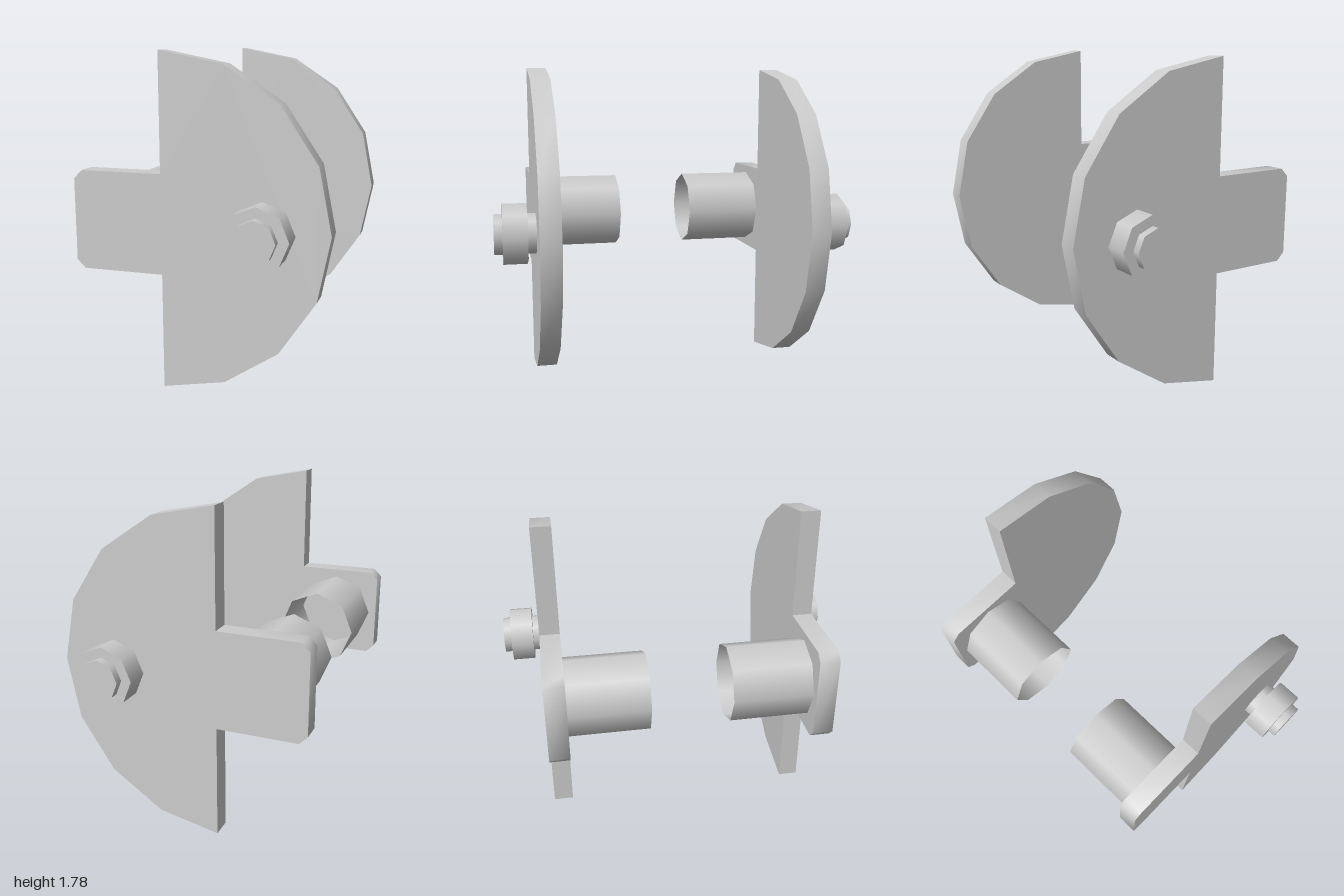
import * as THREE from 'three';
import { toCreasedNormals } from 'three/addons/utils/BufferGeometryUtils.js';

const MID = 0.89; // height of the shaft axis

// Half-disc counterweight joined to a chamfered arm, one closed outline
function plateGeometry(depth) {
  const cx = -0.2, r = 0.888, left = -0.69, half = 0.266, c = 0.045;
  const points = [];
  for (let i = 0; i <= 8; i++) {
    const a = -Math.PI / 2 + (i * Math.PI) / 8;
    points.push(new THREE.Vector2(cx + r * Math.cos(a), r * Math.sin(a)));
  }
  points.push(
    new THREE.Vector2(cx, half),
    new THREE.Vector2(left + c, half),
    new THREE.Vector2(left, half - c),
    new THREE.Vector2(left, c - half),
    new THREE.Vector2(left + c, -half),
    new THREE.Vector2(cx, -half)
  );
  const geometry = new THREE.ExtrudeGeometry(new THREE.Shape(points), { depth, bevelEnabled: false });
  geometry.translate(0, 0, -depth / 2);
  return toCreasedNormals(geometry, THREE.MathUtils.degToRad(50));
}

// Eight-sided cylinder lying along z
function zCylinder(radius, length, open = false) {
  return new THREE.CylinderGeometry(radius, radius, length, 8, 1, open).rotateX(Math.PI / 2);
}

export function createModel() {
  const model = new THREE.Group();
  model.name = 'crankshaft';
  const grey = new THREE.MeshStandardMaterial({ color: 0xcccccc });
  const thin = new THREE.MeshStandardMaterial({ color: 0xcccccc, side: THREE.DoubleSide });

  // name, geometry, x, distance from the middle, material
  const parts = [
    ['CrankWeb', plateGeometry(0.112), 0, 0.722, grey],
    ['CrankPinSleeve', zCylinder(0.221, 0.444, true), -0.425, 0.444, thin],
    ['Axle', zCylinder(0.11, 0.222), 0.355, 0.889, grey],
    ['BearingCollar', zCylinder(0.165, 0.13), 0.355, 0.89, grey],
  ];

  // The two halves mirror each other across z = 0
  for (const [side, s] of [['front', 1], ['back', -1]]) {
    const half = new THREE.Group();
    half.name = side + 'Half';
    for (const [name, geometry, x, z, material] of parts) {
      const mesh = new THREE.Mesh(geometry, material);
      mesh.name = side + name;
      mesh.position.set(x, MID, s * z);
      half.add(mesh);
    }
    model.add(half);
  }
  return model;
}
